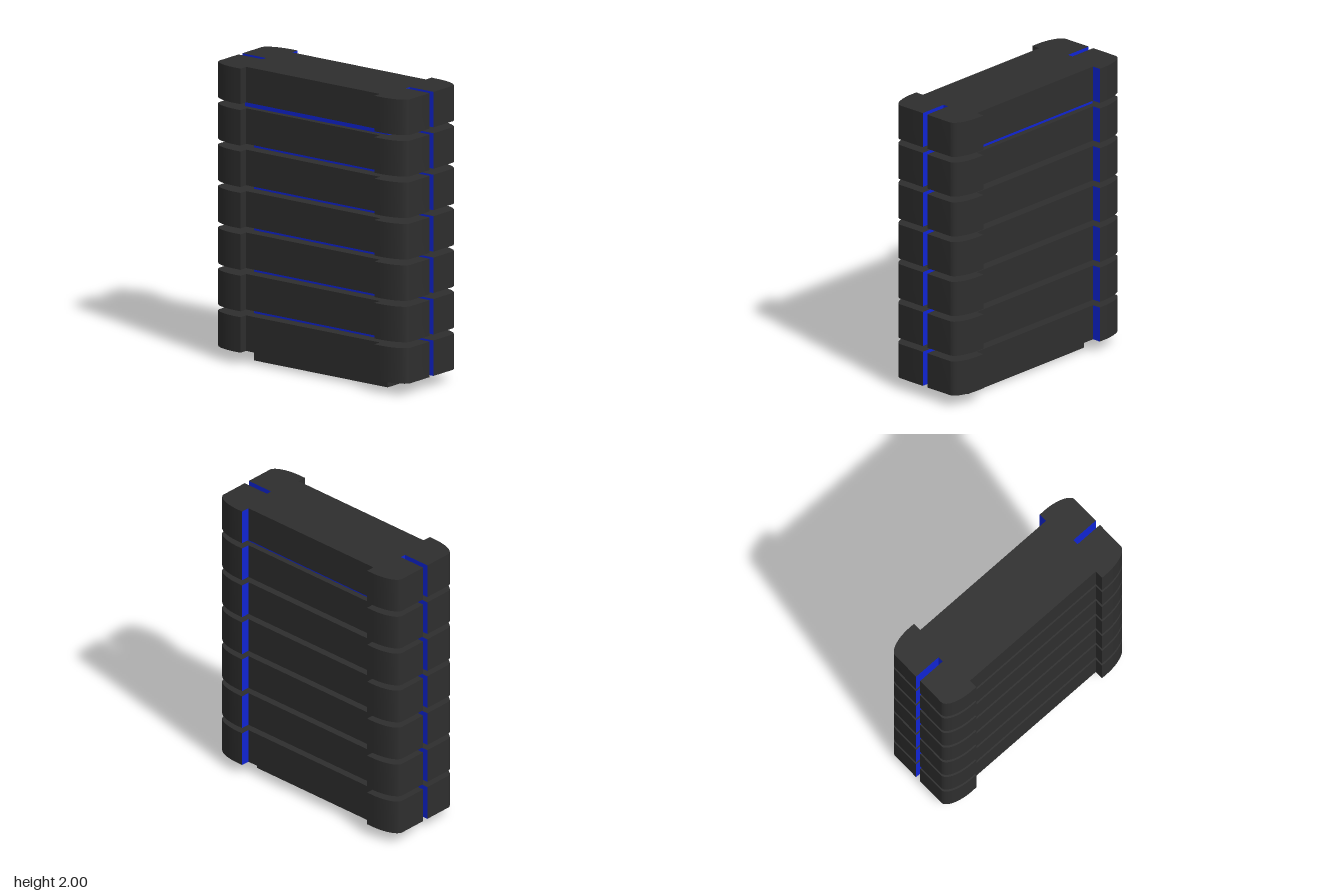
import * as THREE from 'three';
import { toCreasedNormals } from 'three/addons/utils/BufferGeometryUtils.js';

const TIERS = 7, TIER_H = 0.24, PITCH = 0.28, FOOT_H = 0.08;

// Plan outline: recessed long sides, rounded end blocks, a slot in each end
function tierOutline() {
  const shape = new THREE.Shape();
  for (const s of [1, -1]) {
    const p = (x, y) => shape.lineTo(s * x, s * y);
    const turn = s > 0 ? 0 : Math.PI;
    if (s > 0) shape.moveTo(0.56, -0.24); else p(0.56, -0.24);
    p(0.56, -0.3);
    p(0.6, -0.3);
    shape.absellipse(s * 0.6, s * -0.22, 0.2, 0.08, turn - Math.PI / 2, turn, false);
    p(0.8, -0.02);
    p(0.6, -0.02);
    p(0.6, 0.02);
    p(0.8, 0.02);
    p(0.8, 0.22);
    shape.absellipse(s * 0.6, s * 0.22, 0.2, 0.08, turn, turn + Math.PI / 2, false);
    p(0.56, 0.3);
    p(0.56, 0.24);
  }
  return shape;
}

function tierGeometry() {
  let geo = new THREE.ExtrudeGeometry(tierOutline(), { depth: TIER_H, bevelEnabled: false, curveSegments: 10 });
  geo.rotateX(-Math.PI / 2);
  geo = toCreasedNormals(geo, 0.6);

  // Slot walls and the rear steps take the accent colour
  geo.clearGroups();
  const pos = geo.attributes.position, nor = geo.attributes.normal;
  for (let i = 0; i < pos.count; i += 3) {
    const x = Math.abs(pos.getX(i) + pos.getX(i + 1) + pos.getX(i + 2)) / 3;
    const z = (pos.getZ(i) + pos.getZ(i + 1) + pos.getZ(i + 2)) / 3;
    const isWall = Math.abs(nor.getY(i)) < 0.5;
    const inSlot = Math.abs(z) < 0.021 && x > 0.59;
    const rearStep = Math.abs(x - 0.56) < 0.001 && z < -0.23;
    geo.addGroup(i, 3, isWall && (inSlot || rearStep) ? 1 : 0);
  }
  return geo;
}

export function createModel() {
  const group = new THREE.Group();
  const dark = new THREE.MeshStandardMaterial({ color: 0x2e2e2e });
  dark.name = 'charcoal';
  const blue = new THREE.MeshStandardMaterial({ color: 0x0f24d4 });
  blue.name = 'blue';

  const addBox = (name, w, h, d, y, material) => {
    const mesh = new THREE.Mesh(new THREE.BoxGeometry(w, h, d), material);
    mesh.name = name;
    mesh.position.y = y + h / 2;
    group.add(mesh);
  };

  // Foot
  addBox('foot', 1.12, FOOT_H, 0.32, 0, dark);

  // Stacked tiers with a blue spacer in each gap
  const geo = tierGeometry();
  for (let i = 0; i < TIERS; i++) {
    const y = FOOT_H + i * PITCH;
    const tier = new THREE.Mesh(geo, [dark, blue]);
    tier.name = `tier${i + 1}`;
    tier.position.y = y;
    group.add(tier);
    if (i === TIERS - 1) continue;
    const top = i === TIERS - 2; // the uppermost spacer is larger
    addBox(`spacer${i + 1}`, top ? 1.2 : 1.12, PITCH - TIER_H, top ? 0.4 : 0.32, y + TIER_H, blue);
  }
  return group;
}
